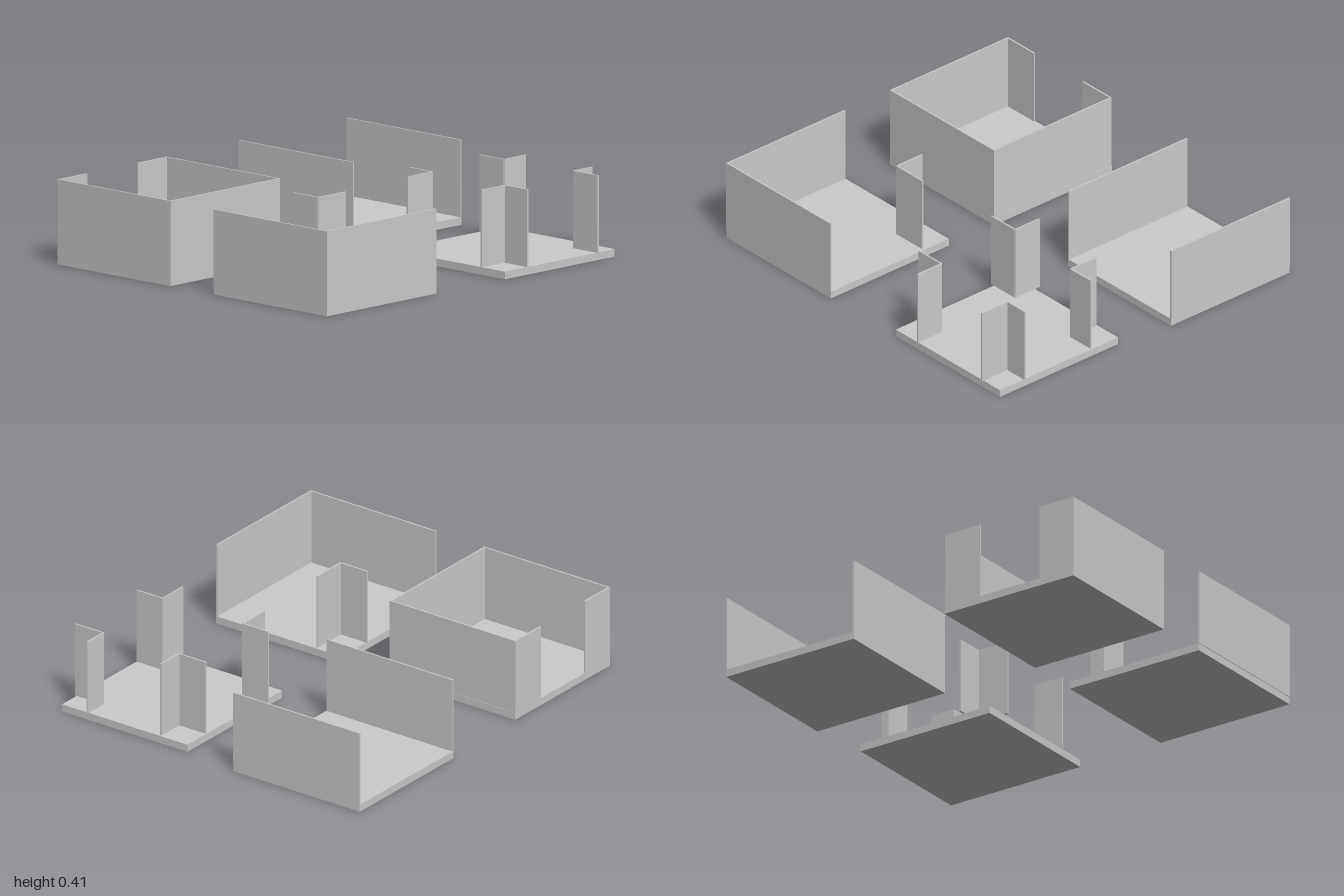
import * as THREE from 'three';

const FLOOR = 0.037, TOP = 0.41, T = 0.008;

export function createModel() {
  const model = new THREE.Group();
  model.name = 'roomTiles';
  const mat = new THREE.MeshStandardMaterial({ color: 0xcccccc, flatShading: true });

  // Box given by its extents in x, y and z
  function box(parent, name, x0, x1, y0, y1, z0, z1) {
    const m = new THREE.Mesh(new THREE.BoxGeometry(x1 - x0, y1 - y0, z1 - z0), mat);
    m.position.set((x0 + x1) / 2, (y0 + y1) / 2, (z0 + z1) / 2);
    m.name = name;
    parent.add(m);
  }

  // A tile is a floor slab plus thin upright panels
  function tile(name, [x0, x1, z0, z1], panels) {
    const g = new THREE.Group();
    g.name = name;
    box(g, 'floor', x0, x1, 0, FLOOR, z0, z1);
    for (const [part, axis, at, from, to] of panels) {
      if (axis === 'x') box(g, part, from, to, FLOOR, TOP, at - T / 2, at + T / 2);
      else box(g, part, at - T / 2, at + T / 2, FLOOR, TOP, from, to);
    }
    model.add(g);
  }

  // L-shaped corner: a panel along x and one along z meeting at (x, z)
  const corner = (x, z, xEnd, zEnd) => [
    ['cornerPanel', 'x', z, Math.min(x, xEnd), Math.max(x, xEnd)],
    ['cornerPanel', 'z', x, Math.min(z, zEnd), Math.max(z, zEnd)],
  ];

  // Straight corridor
  tile('corridorTile', [-0.9, -0.155, -0.998, -0.26], [
    ['backWall', 'x', -0.996, -0.9, -0.155],
    ['frontWall', 'x', -0.264, -0.9, -0.155],
  ]);

  // Crossing with four corners
  tile('crossingTile', [0.145, 0.885, -0.96, -0.215], [
    ...corner(0.308, -0.808, 0.15, -0.953),
    ...corner(0.732, -0.84, 0.895, -0.967),
    ...corner(0.266, -0.363, 0.115, -0.193),
    ...corner(0.735, -0.37, 0.885, -0.21),
  ]);

  // Room with a doorway on one side
  tile('roomTile', [-0.88, -0.14, 0.25, 0.995], [
    ['backWall', 'x', 0.256, -0.877, -0.14],
    ['frontWall', 'x', 0.991, -0.877, -0.14],
    ['sideWall', 'z', -0.143, 0.25, 0.995],
    ['doorPanel', 'z', -0.876, 0.255, 0.455],
    ['doorPanel', 'z', -0.876, 0.8, 0.995],
  ]);

  // Bend with two outer walls and an inner corner
  tile('bendTile', [0.145, 0.885, 0.25, 0.995], [
    ['frontWall', 'x', 0.994, 0.145, 0.887],
    ['sideWall', 'z', 0.883, 0.252, 0.998],
    ...corner(0.298, 0.447, 0.14, 0.262),
  ]);

  return model;
}
